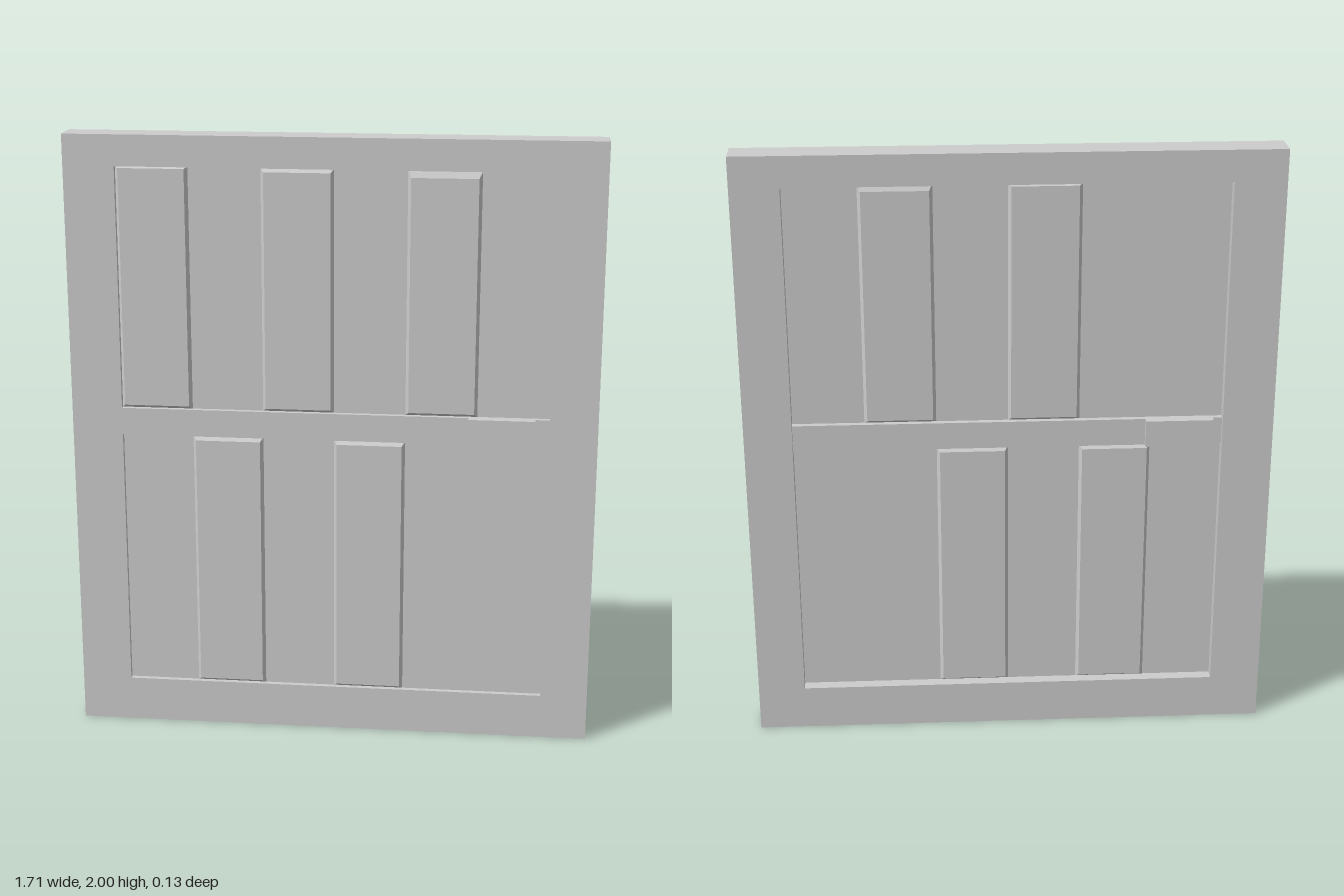
import * as THREE from 'three';

const material = new THREE.MeshStandardMaterial({ color: 0xcccccc });

// Opening of the frame, and its central rail
const L = -0.69, R = 0.70, B = 0.15, T = 1.90, RAIL_B = 1.02, RAIL_T = 1.11;
const COL = (R - L) / 6;
const PANEL_Z = 0.025, RAISE = 0.013;

function box(name, x0, x1, y0, y1, z0, z1) {
  const mesh = new THREE.Mesh(new THREE.BoxGeometry(x1 - x0, y1 - y0, z1 - z0), material);
  mesh.position.set((x0 + x1) / 2, (y0 + y1) / 2, (z0 + z1) / 2);
  mesh.name = name;
  return mesh;
}

// Raised panel whose front face is inset to leave sloping borders
function bevelledPanel(name, col, y0, y1, topBevel, back) {
  const x0 = L + col * COL, h = y1 - y0;
  const geo = new THREE.BoxGeometry(COL, h, RAISE);
  const p = geo.attributes.position;
  for (let i = 0; i < p.count; i++) {
    if (p.getZ(i) < 0) continue;
    p.setX(i, p.getX(i) - Math.sign(p.getX(i)) * 0.01);
    p.setY(i, p.getY(i) > 0 ? h / 2 - topBevel : -h / 2 + 0.01);
  }
  geo.computeVertexNormals();
  const mesh = new THREE.Mesh(geo, material);
  const z = PANEL_Z + RAISE / 2;
  mesh.position.set(x0 + COL / 2, (y0 + y1) / 2, back ? -z : z);
  if (back) mesh.rotation.y = Math.PI;
  mesh.name = name;
  return mesh;
}

export function createModel() {
  const model = new THREE.Group();
  model.name = 'panelledDoor';

  // Outer frame with a rectangular opening
  const outline = new THREE.Shape();
  outline.moveTo(-0.855, 0).lineTo(0.855, 0).lineTo(0.855, 2).lineTo(-0.855, 2).closePath();
  const opening = new THREE.Path();
  opening.moveTo(L, B).lineTo(L, T).lineTo(R, T).lineTo(R, B).closePath();
  outline.holes.push(opening);
  const frameGeo = new THREE.ExtrudeGeometry(outline, { depth: 0.105, bevelEnabled: false });
  frameGeo.translate(0, 0, -0.063);
  const frame = new THREE.Mesh(frameGeo, material);
  frame.name = 'frame';
  model.add(frame);

  // Recessed infill and the rail across it
  model.add(box('infill', L, R, B, T, -PANEL_Z, PANEL_Z));
  model.add(box('middleRail', L, R, RAIL_B, RAIL_T, -0.044, 0.042));

  // Staggered raised panels, front and back
  for (const back of [false, true]) {
    const side = back ? 'back' : 'front';
    for (const [col, bevel] of [[0, 0.006], [2, 0.012], [4, 0.022]]) {
      if (back && col === 0) continue;
      model.add(bevelledPanel(side + 'UpperPanel', col, RAIL_T, T, bevel, back));
    }
    for (const col of [1, 3]) {
      model.add(bevelledPanel(side + 'LowerPanel', col, B, RAIL_B, 0.015, back));
    }
  }

  // Handle blocks at opposite ends of the rail
  model.add(box('frontHandle', 0.44, 0.655, RAIL_B, RAIL_T, 0.04, 0.063));
  model.add(box('backHandle', -0.66, -0.44, RAIL_B, RAIL_T, -0.066, -0.04));
  return model;
}
